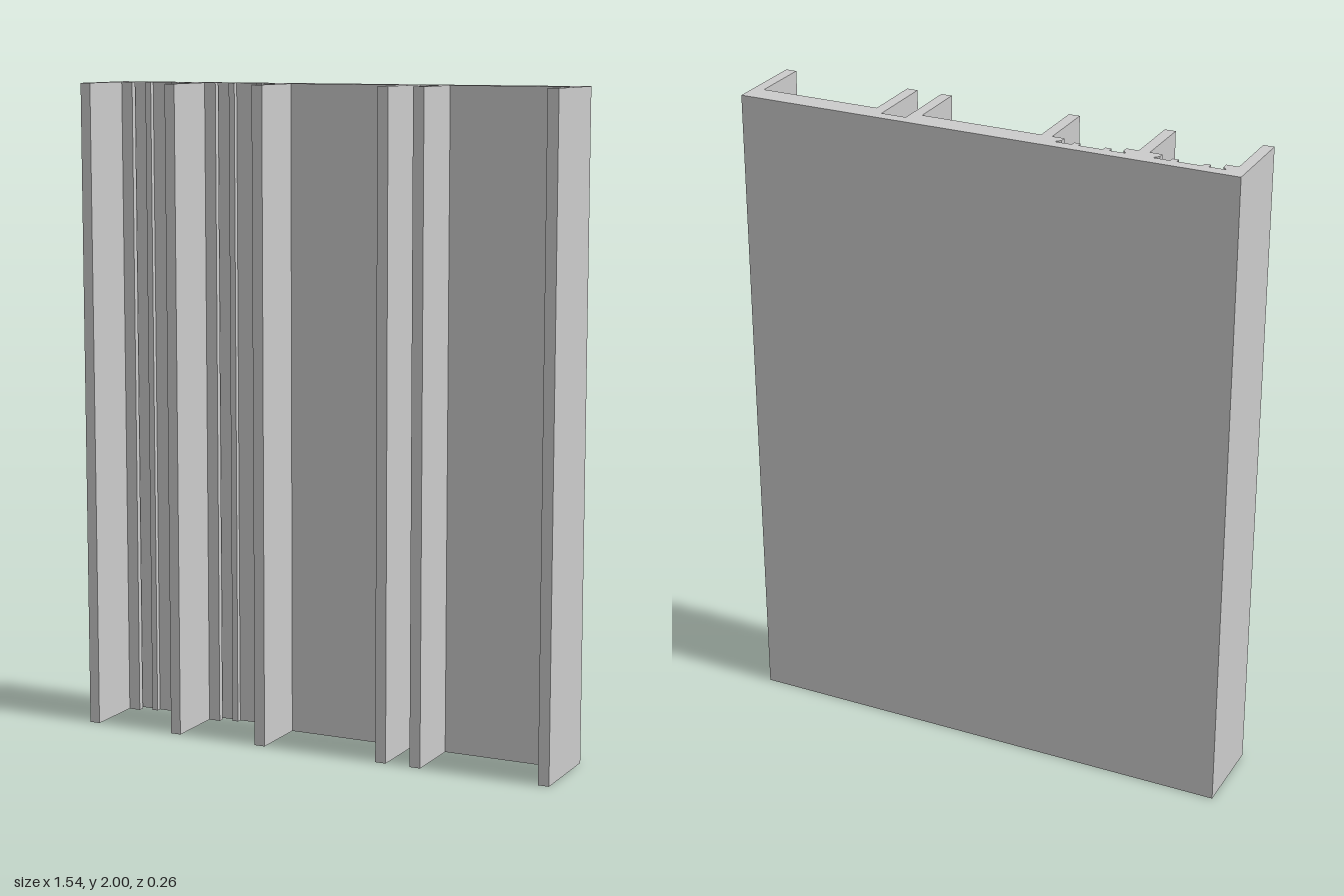
import * as THREE from 'three';

const HEIGHT = 2;
const HALF_WIDTH = 0.772;
const BACK = -0.13, FRONT = 0.13;   // outer depth limits
const FACE = -0.058;                // front face of the thick web
const FLOOR = -0.093;               // floor of the recessed channels
const LIP = -0.077;                 // rib tips and start of the undercuts

// Leg standing forward from the web, as [x, z] points
const leg = (x0, x1, z0 = FACE, z1 = FACE) => [[x0, z0], [x0, FRONT], [x1, FRONT], [x1, z1]];

// Small rib on a channel floor
const rib = (x0, x1) => [[x0, FLOOR], [x0, LIP], [x1, LIP], [x1, FLOOR]];

// Undercut track with two ribs, between the legs ending at x0 and starting at x1
const track = (x0, x1) => [
  [x0 + 0.037, FACE], [x0 + 0.037, LIP], [x0 + 0.023, FLOOR],
  ...rib(x0 + 0.073, x0 + 0.092),
  ...rib(x0 + 0.166, x0 + 0.185),
  [x1 - 0.022, FLOOR], [x1 - 0.037, LIP], [x1 - 0.037, FACE],
];

export function createModel() {
  const group = new THREE.Group();
  group.name = 'profilePanel';

  // Cross-section, traced from the back right corner round to the front right leg
  const section = [
    [HALF_WIDTH, BACK], [-HALF_WIDTH, BACK],
    [-HALF_WIDTH, FRONT], [-0.739, FRONT], [-0.739, FACE],
    ...track(-0.739, -0.48),
    ...leg(-0.48, -0.447),
    ...track(-0.447, -0.187),
    ...leg(-0.187, -0.153),
    ...leg(0.219, 0.253, FACE, FLOOR),   // plain channel between these two legs
    ...leg(0.331, 0.365, FLOOR, FACE),
    [0.738, FACE], [0.738, FRONT], [HALF_WIDTH, FRONT],
  ];

  // Extrude upward
  const shape = new THREE.Shape(section.map(([x, z]) => new THREE.Vector2(x, -z)));
  const geometry = new THREE.ExtrudeGeometry(shape, { depth: HEIGHT, bevelEnabled: false });
  geometry.rotateX(-Math.PI / 2);

  const panel = new THREE.Mesh(geometry, new THREE.MeshStandardMaterial({ color: 0xcccccc }));
  panel.name = 'extrudedPanel';
  group.add(panel);
  return group;
}
